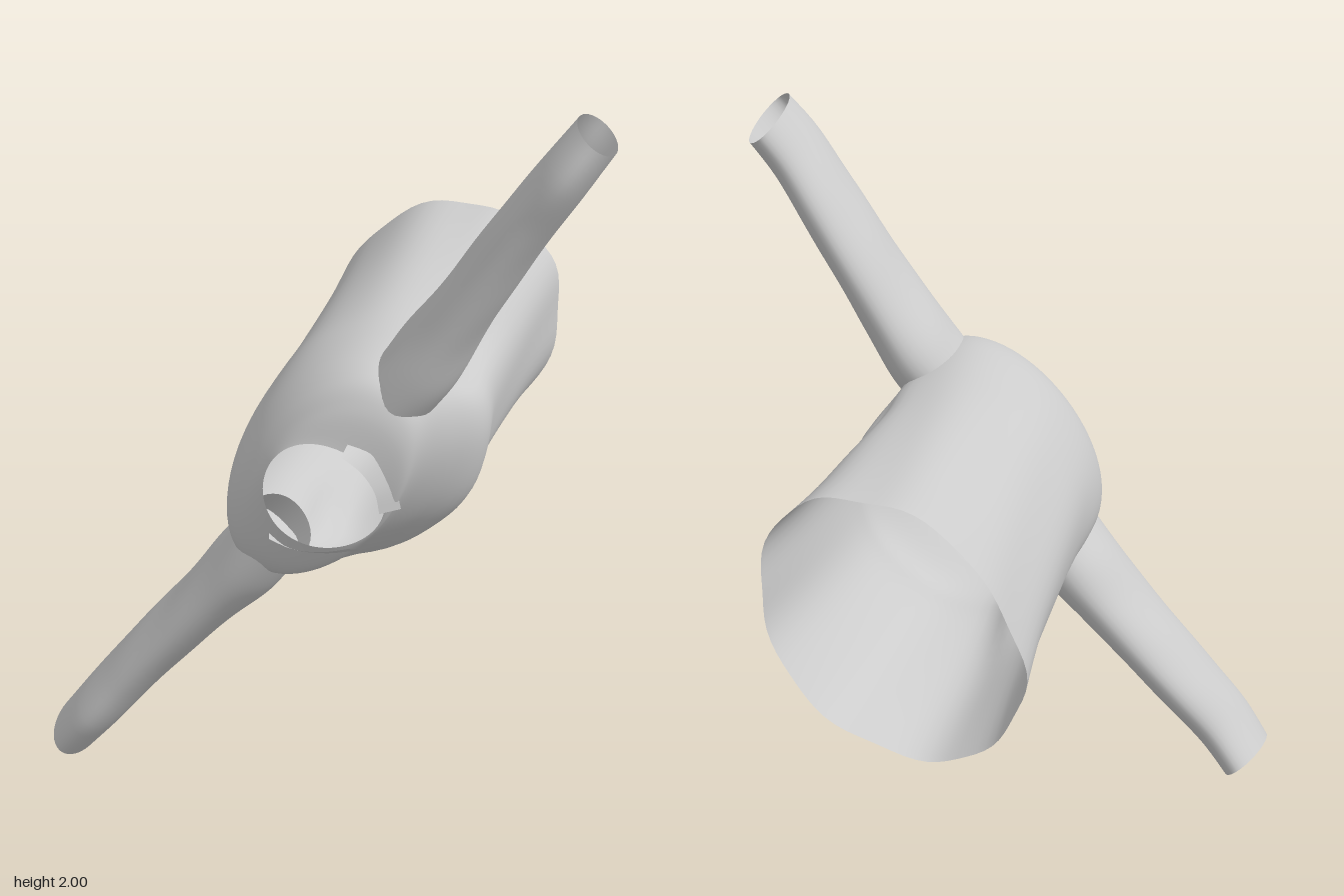
import * as THREE from 'three';

const material = new THREE.MeshStandardMaterial({ color: 0xcccccc, side: THREE.DoubleSide });

// Skin a smooth surface over a grid: point(i, j) gives a vertex; closed grids wrap around in j.
function skin(name, rows, cols, closed, point) {
  const pos = [], index = [];
  for (let i = 0; i < rows; i++) for (let j = 0; j < cols; j++) pos.push(...point(i, j));
  for (let i = 0; i < rows - 1; i++) {
    for (let j = 0; j < (closed ? cols : cols - 1); j++) {
      const k = (j + 1) % cols;
      const a = i * cols + j, b = i * cols + k, c = a + cols, d = b + cols;
      index.push(a, b, d, a, d, c);
    }
  }
  const g = new THREE.BufferGeometry();
  g.setAttribute('position', new THREE.Float32BufferAttribute(pos, 3));
  g.setIndex(index);
  g.computeVertexNormals();
  const mesh = new THREE.Mesh(g, material);
  mesh.name = name;
  return mesh;
}

// Smoothly interpolate rows of section values (Catmull-Rom), t from 0 to 1.
function sample(sections, t) {
  const n = sections.length - 1;
  const i = Math.min(Math.floor(t * n), n - 1), f = t * n - i;
  const at = (k) => sections[Math.max(0, Math.min(n, k))];
  return at(i).map((b, k) => {
    const a = at(i - 1)[k], c = at(i + 1)[k], d = at(i + 2)[k];
    return b + 0.5 * f * (c - a + f * (2 * a - 5 * b + 4 * c - d + f * (3 * (b - c) + d - a)));
  });
}

const bump = (x, centre, width) => Math.exp(-(((x - centre) / width) ** 2));

// Torso: z, half width, half depth, forward offset; from hem to neck opening
const torso = [
  [-0.685, 0.422, 0.333, 0.112],
  [-0.4, 0.39, 0.312, 0.102],
  [0, 0.37, 0.302, 0.094],
  [0.2, 0.37, 0.312, 0.1],
  [0.35, 0.37, 0.272, 0.064],
  [0.47, 0.365, 0.235, 0.042],
  [0.56, 0.345, 0.205, 0.045],
  [0.605, 0.275, 0.183, 0.062],
  [0.63, 0.155, 0.167, 0.07],
];

function makeTorso() {
  const rows = 49, cols = 72;
  return skin('torso', rows, cols, true, (i, j) => {
    const s = i / (rows - 1), t = (j / cols) * Math.PI * 2;
    const [z, a, b, offset] = sample(torso, s);
    const c = Math.cos(t), front = -Math.sin(t);
    const hem = Math.max(0, 1 - s * 1.6), neck = Math.max(0, (s - 0.7) / 0.3);
    // soft cloth folds, plus a tuck below each armpit
    const side = Math.atan2(front, Math.abs(c));
    const folds = 1 + hem * (0.014 * Math.cos(5 * t + 1) + 0.012 * Math.cos(9 * t + 3 * z))
      - 0.1 * bump(side, 0.22, 0.2) * bump(z, 0.12, 0.24);
    // wavy hem; the neckline dips at the front
    const dz = hem ** 3 * (0.014 * Math.cos(2 * t) + 0.007 * Math.cos(5 * t) + 0.02 * front)
      + neck * (0.016 * c * c - 0.025 * front - 0.012 * front * front);
    return [a * c * folds, -offset - b * front * folds, z + dz];
  });
}

// Sleeve: distance out, forward offset, half thickness, lowest z, highest z
const sleeve = [
  [0.28, 0.055, 0.1, 0.26, 0.6],
  [0.4, 0.052, 0.103, 0.235, 0.6],
  [0.55, 0.04, 0.088, 0.238, 0.592],
  [0.75, 0.022, 0.079, 0.243, 0.588],
  [0.92, 0.01, 0.075, 0.258, 0.59],
  [1.08, 0.003, 0.071, 0.282, 0.598],
  [1.205, 0, 0.066, 0.268, 0.57],
];

function makeSleeve(name, sign) {
  const rows = 37, cols = 36;
  return skin(name, rows, cols, true, (i, j) => {
    const s = i / (rows - 1), t = -sign * (j / cols) * Math.PI * 2;
    const [u, offset, h, lo, hi] = sample(sleeve, s);
    const c = Math.cos(t);
    const ripple = 1 + 0.03 * Math.sin(u * 22 + 2 * t) * (1 - s);
    return [sign * (u + 0.02 * s * c), -offset + h * Math.sin(t) * ripple, (lo + hi) / 2 + ((hi - lo) / 2) * c];
  });
}

// Collar flap: a strip from the side of the neck to the front, given by its upper and lower edges
const flapTop = [[0.165, -0.03, 0.705], [0.155, -0.1, 0.685], [0.12, -0.165, 0.66], [0.072, -0.212, 0.645]];
const flapBase = [[0.18, -0.025, 0.655], [0.19, -0.1, 0.63], [0.147, -0.19, 0.595], [0.085, -0.255, 0.57]];

function makeFlap(name, sign) {
  const rows = 13;
  return skin(name, rows, 2, false, (i, j) => {
    const [x, y, z] = sample(j === (sign > 0 ? 0 : 1) ? flapTop : flapBase, i / (rows - 1));
    return [sign * x, y, z];
  });
}

export function createModel() {
  const shirt = new THREE.Group();
  shirt.name = 'shirt';
  shirt.add(makeTorso());
  for (const [label, sign] of [['left', 1], ['right', -1]]) {
    shirt.add(makeSleeve(label + 'Sleeve', sign), makeFlap(label + 'CollarFlap', sign));
  }
  // the sleeves lie along a diagonal
  shirt.rotation.z = Math.atan2(0.796, 0.605);
  shirt.position.set(0, 1, 0);
  const model = new THREE.Group();
  model.name = 'model';
  model.add(shirt);
  return model;
}
